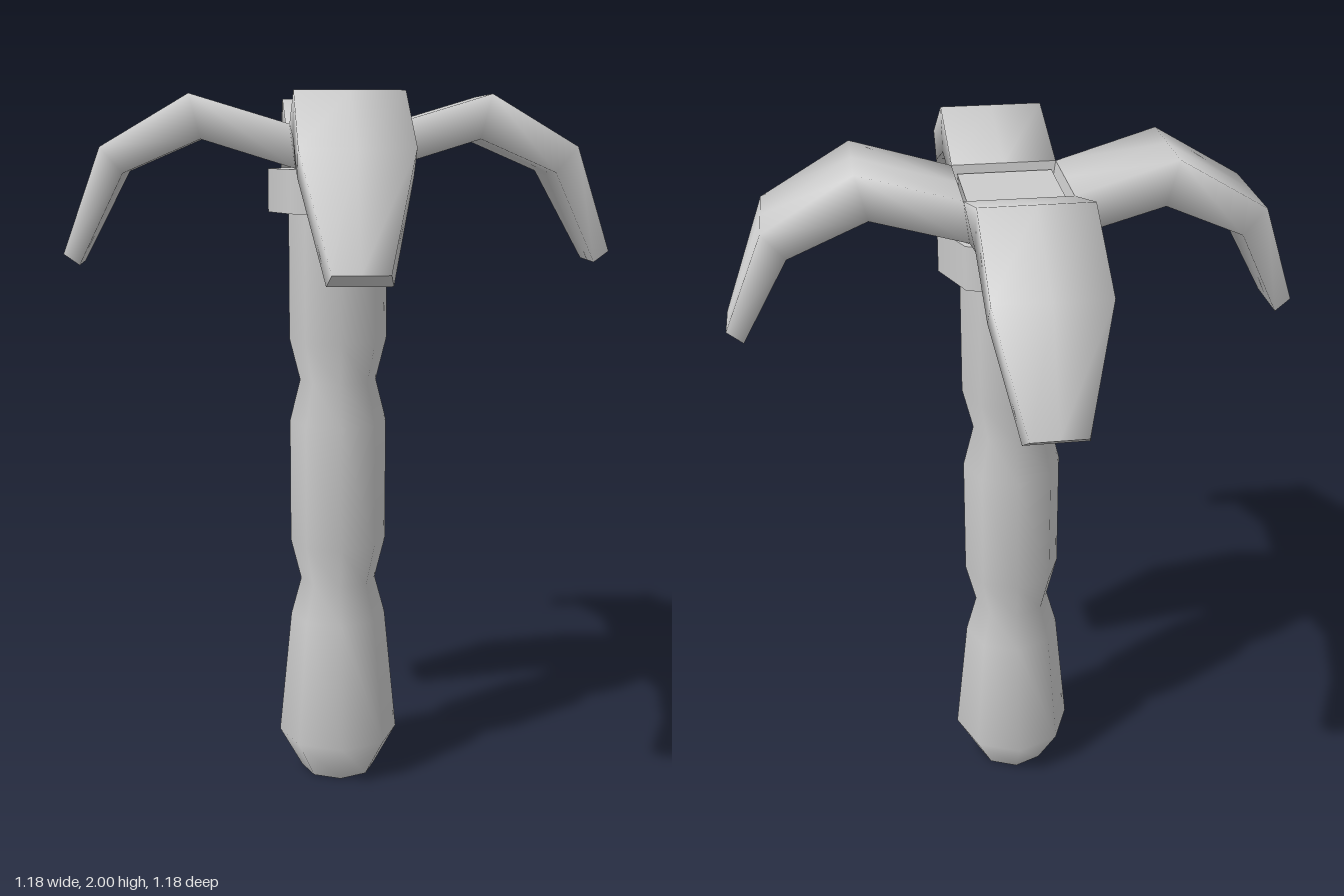
import * as THREE from 'three';

const material = new THREE.MeshStandardMaterial({ color: 0xcccccc });

function part(name, geometry, y = 0) {
  const mesh = new THREE.Mesh(geometry, material);
  mesh.name = name;
  mesh.position.y = y;
  return mesh;
}

// One station along a frond: distance d, height y, half width h, for top and bottom
const STATIONS = [
  { top: [0.141, 1.92, 0.141], bottom: [0.12, 1.8, 0.125] },
  { top: [0.41, 2.0, 0.141], bottom: [0.38, 1.88, 0.141] },
  { top: [0.65, 1.86, 0.141], bottom: [0.59, 1.79, 0.141] },
  { top: [0.764, 1.57, 0.07], bottom: [0.72, 1.54, 0.08] },
];

// Six-point cross-section, with a centre vein above and below
function section({ top: [dt, yt, ht], bottom: [db, yb, hb] }) {
  return [
    [dt, yt, -ht], [dt, yt, 0], [dt, yt, ht],
    [db, yb, hb], [db, yb, 0], [db, yb, -hb],
  ];
}

function meshGeometry(points, index) {
  const g = new THREE.BufferGeometry();
  g.setAttribute('position', new THREE.Float32BufferAttribute(points.flat(), 3));
  g.setIndex(index);
  g.computeVertexNormals();
  return g;
}

// Smooth skin through the cross-sections
function frondSkin() {
  const n = 6, index = [];
  for (let i = 0; i < STATIONS.length - 1; i++) {
    for (let j = 0; j < n; j++) {
      const a = i * n + j, b = i * n + (j + 1) % n;
      index.push(a, b, b + n, a, b + n, a + n);
    }
  }
  return meshGeometry(STATIONS.flatMap(section), index);
}

// Flat end face with its own normals
function frondEnd(station, reversed) {
  const points = section(station);
  if (reversed) points.reverse();
  return meshGeometry(points, [0, 1, 4, 0, 4, 5, 1, 2, 3, 1, 3, 4]);
}

export function createModel() {
  const model = new THREE.Group();
  model.name = 'palmTree';

  // Trunk with two pinched joints and a swollen foot
  const profile = [
    [0.11, 0], [0.177, 0.12], [0.14, 0.49], [0.11, 0.6], [0.14, 0.72],
    [0.14, 1.08], [0.11, 1.2], [0.14, 1.32], [0.14, 1.7],
  ].map(([r, y]) => new THREE.Vector2(r, y));
  model.add(part('trunk', new THREE.LatheGeometry(profile, 8)));
  model.add(part('trunkBase', new THREE.CircleGeometry(0.11, 8).rotateX(Math.PI / 2)));

  // Collar under the fronds and the crown cap between them
  model.add(part('collar', new THREE.CylinderGeometry(0.197, 0.197, 0.12, 8), 1.74));
  model.add(part('crownCap', new THREE.CylinderGeometry(0.18, 0.17, 0.1, 4), 1.85));

  // Four drooping fronds on the diagonals
  const skin = frondSkin();
  const root = frondEnd(STATIONS[0], true);
  const tip = frondEnd(STATIONS[STATIONS.length - 1], false);
  for (let k = 0; k < 4; k++) {
    const frond = new THREE.Group();
    frond.name = 'frond';
    frond.add(part('frondBlade', skin), part('frondRoot', root), part('frondTip', tip));
    frond.rotation.y = Math.PI / 4 + k * Math.PI / 2;
    model.add(frond);
  }
  return model;
}
